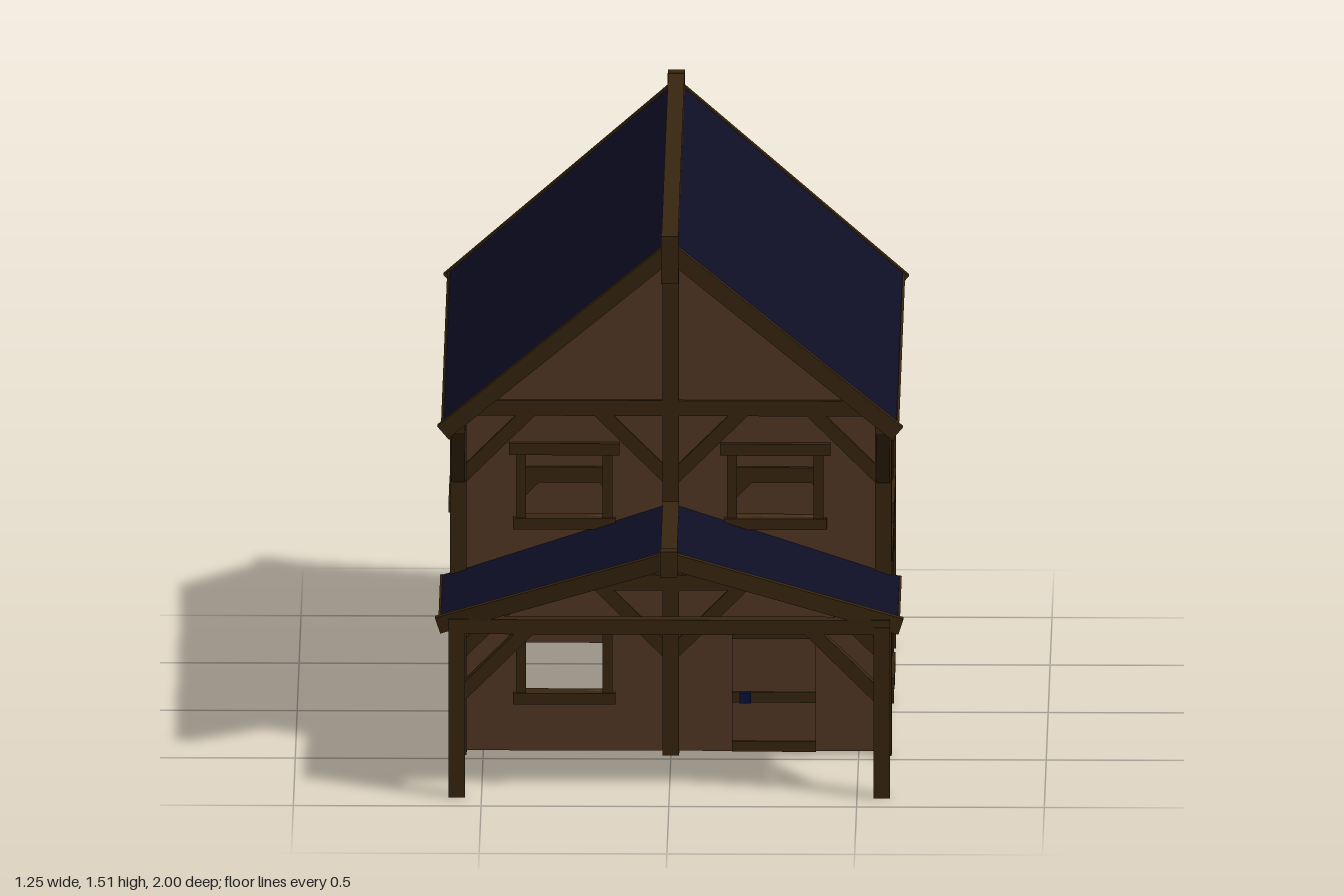
import * as THREE from 'three';
import { ConvexGeometry } from 'three/addons/geometries/ConvexGeometry.js';

const material = (name, color) => {
  const m = new THREE.MeshStandardMaterial({ color });
  m.name = name;
  return m;
};

const X = 0.566, FRONT = 0.44, BACK = -0.694, MID = -0.112; // post lines
const PORCH = 0.888, FLOOR2 = 0.475, TIE = 0.955, B = 0.044; // beam levels and size

export function createModel() {
  const model = new THREE.Group();
  model.name = 'timberHouse';
  const plaster = material('brown wall', 0x533626);
  const timber = material('dark timber', 0x38260f);
  const tiles = material('dark blue roof', 0x0e0e25);
  const iron = material('blue handle', 0x0b1136);

  const add = (name, geometry, mat) => {
    const mesh = new THREE.Mesh(geometry, mat);
    mesh.name = name;
    model.add(mesh);
    return mesh;
  };

  // Box given by its x, y and z limits
  const block = (name, x0, x1, y0, y1, z0, z1, mat = timber) =>
    add(name, new THREE.BoxGeometry(x1 - x0, y1 - y0, z1 - z0), mat)
      .position.set((x0 + x1) / 2, (y0 + y1) / 2, (z0 + z1) / 2);

  // Square timber between two points
  const beam = (name, a, b, w = B) => {
    const p = new THREE.Vector3(...a), q = new THREE.Vector3(...b);
    const dir = q.clone().sub(p);
    const mesh = add(name, new THREE.BoxGeometry(w, dir.length(), w), timber);
    mesh.position.copy(p).add(q).multiplyScalar(0.5);
    mesh.quaternion.setFromUnitVectors(new THREE.Vector3(0, 1, 0), dir.normalize());
  };

  // Diagonal brace rising from a post to a beam at height y, running along dx or dz
  const brace = (x, y, z, dx, dz) =>
    beam('brace', [x, y - 0.2, z], [x + dx * 0.2, y, z + dz * 0.2], 0.036);

  // Thin wall with rectangular holes [x0, x1, y0, y1]
  const wall = (name, outline, holes) => {
    const shape = new THREE.Shape(outline.map(p => new THREE.Vector2(...p)));
    for (const [x0, x1, y0, y1] of holes) {
      shape.holes.push(new THREE.Path([[x0, y0], [x0, y1], [x1, y1], [x1, y0]].map(p => new THREE.Vector2(...p))));
    }
    const geometry = new THREE.ExtrudeGeometry(shape, { depth: 0.02, bevelEnabled: false });
    return add(name, geometry.translate(0, 0, -0.01), plaster);
  };

  // Window frame around an opening, in the plane of the wall
  const HALF = 0.102;
  const windowFrame = (x, y0, y1, z, turned) => {
    const frame = new THREE.Group();
    frame.name = 'windowFrame';
    const bar = (name, cx, cy, w, h, d) => {
      const mesh = new THREE.Mesh(new THREE.BoxGeometry(w, h, d), timber);
      mesh.name = name;
      mesh.position.set(cx, cy, 0);
      frame.add(mesh);
    };
    bar('windowHeader', 0, y1 + 0.016, 0.294, 0.032, 0.056);
    bar('windowSill', 0, y0 - 0.015, 0.274, 0.03, 0.056);
    for (const s of [-1, 1]) bar('windowJamb', s * (HALF + 0.013), (y0 + y1) / 2, 0.026, y1 - y0, 0.04);
    frame.position.set(x, 0, z);
    if (turned) frame.rotation.y = Math.PI / 2;
    model.add(frame);
  };

  // Walls
  const LOW = [0.171, 0.345], HIGH = [0.653, 0.827];
  const gable = [[-X, 0.01], [X, 0.01], [X, 0.965], [0, 1.45], [-X, 0.965]];
  const opening = (c, [y0, y1]) => [c - HALF, c + HALF, y0, y1];
  const frontWindows = [[-0.284, LOW], [-0.284, HIGH], [0.278, HIGH]];
  wall('frontWall', gable, frontWindows.map(w => opening(...w))).position.z = FRONT;
  wall('backWall', gable, []).position.z = BACK;
  for (const [x, [y0, y1]] of frontWindows) windowFrame(x, y0, y1, FRONT, false);
  const sideZ = 0.158;
  for (const s of [-1, 1]) {
    const side = wall('sideWall', [[-FRONT, 0.01], [-BACK, 0.01], [-BACK, 0.965], [-FRONT, 0.965]],
      [opening(-sideZ, LOW), opening(-sideZ, HIGH)]);
    side.rotation.y = Math.PI / 2;
    side.position.x = s * X;
    for (const [y0, y1] of [LOW, HIGH]) windowFrame(s * X, y0, y1, sideZ, true);
  }

  // Gable wall framing, front and back
  for (const z of [FRONT, BACK]) {
    beam('gablePost', [0, 0, z], [0, 1.46, z]);
    for (const y of [FLOOR2, TIE]) {
      beam('crossBeam', [-X - 0.022, y, z], [X + 0.022, y, z], 0.042);
      for (const s of [-1, 1]) {
        brace(0, y, z, s, 0);
        brace(s * X, y, z, -s, 0);
      }
    }
  }

  // Side wall framing and porch sides
  for (const s of [-1, 1]) {
    const x = s * X;
    for (const z of [FRONT, MID, BACK]) beam('wallPost', [x, 0, z], [x, TIE, z]);
    beam('sideBeam', [x, FLOOR2 + 0.002, BACK - 0.024], [x, FLOOR2 + 0.002, FRONT + 0.02]);
    beam('eavesPlate', [x, TIE, -0.9], [x, TIE, 0.66], 0.04);
    for (const y of [FLOOR2, TIE]) for (const d of [-1, 1]) brace(x, y, MID, 0, d);
    brace(x, FLOOR2, BACK, 0, 1);
    brace(x, TIE, BACK, 0, -1);
    brace(x, TIE, FRONT, 0, 1);
    beam('porchPost', [x, 0, PORCH], [x, 0.47, PORCH]);
    beam('porchPlate', [x, 0.472, FRONT], [x, 0.472, PORCH], 0.036);
    brace(x, 0.47, FRONT, 0, 1);
    brace(x, 0.47, PORCH, 0, -1);
    brace(x, 0.47, PORCH, -s, 0);
  }
  beam('porchTie', [-X - 0.022, 0.469, PORCH], [X + 0.022, 0.469, PORCH], 0.04);

  // Two roof slopes with end rafters that lean out towards the ridge.
  // front and back are [z at ridge, z at eaves]
  const roof = (name, ridgeY, eaveX, eaveY, front, back, backRafter) => {
    const normal = new THREE.Vector2(ridgeY - eaveY, eaveX).normalize();
    const zAt = (end, u) => end[0] + (end[1] - end[0]) * u;
    for (const s of [-1, 1]) {
      // Slab between u0 and u1 down the slope, za to zb across, d0 to d1 below the surface
      const slab = (part, mat, u0, u1, za, zb, d0, d1) => {
        const points = [];
        for (const u of [u0, u1]) for (const z of [za(u), zb(u)]) for (const d of [d0, d1]) {
          points.push(new THREE.Vector3(
            s * (eaveX * u - normal.x * d), ridgeY + (eaveY - ridgeY) * u - normal.y * d, z));
        }
        add(name + part, new ConvexGeometry(points), mat);
      };
      const zf = u => zAt(front, u), zb = u => zAt(back, u);
      slab('Slope', tiles, 0.01, 0.976, u => zf(u) - 0.01, u => zb(u) + (backRafter ? 0.01 : 0), 0.004, 0.02);
      slab('EavesEdge', timber, 0.976, 0.986, u => zf(u) - 0.01, u => zb(u) + (backRafter ? 0.01 : 0), 0.002, 0.024);
      slab('Rafter', timber, 0.02, 1, zf, u => zf(u) - 0.022, 0, 0.045);
      if (backRafter) slab('Rafter', timber, 0.02, 1, zb, u => zb(u) + 0.022, 0, 0.045);
    }
  };
  roof('mainRoof', 1.489, 0.62, 0.963, [0.745, 0.688], [-0.985, -0.93], true);
  roof('porchRoof', 0.695, 0.624, 0.489, [0.985, 0.892], [FRONT, FRONT], false);

  // Ridge beams and their end blocks
  block('mainRidge', -0.022, 0.022, 1.455, 1.505, -0.99, 0.75);
  block('ridgeEnd', -0.023, 0.023, 1.375, 1.506, 0.722, 0.76);
  block('ridgeEnd', -0.023, 0.023, 1.375, 1.506, -1, -0.962);
  block('porchRidge', -0.022, 0.022, 0.655, 0.699, FRONT, 0.98);
  block('ridgeEnd', -0.023, 0.023, 0.63, 0.701, 0.967, 1);

  // Door with three rails and a handle
  block('door', 0.163, 0.386, 0.012, 0.35, FRONT, FRONT + 0.018, plaster);
  for (const y of [0.012, 0.147, 0.322]) block('doorRail', 0.163, 0.386, y, y + 0.028, FRONT, FRONT + 0.026);
  block('doorHandle', 0.183, 0.214, 0.147, 0.175, FRONT, FRONT + 0.034, iron);

  return model;
}
